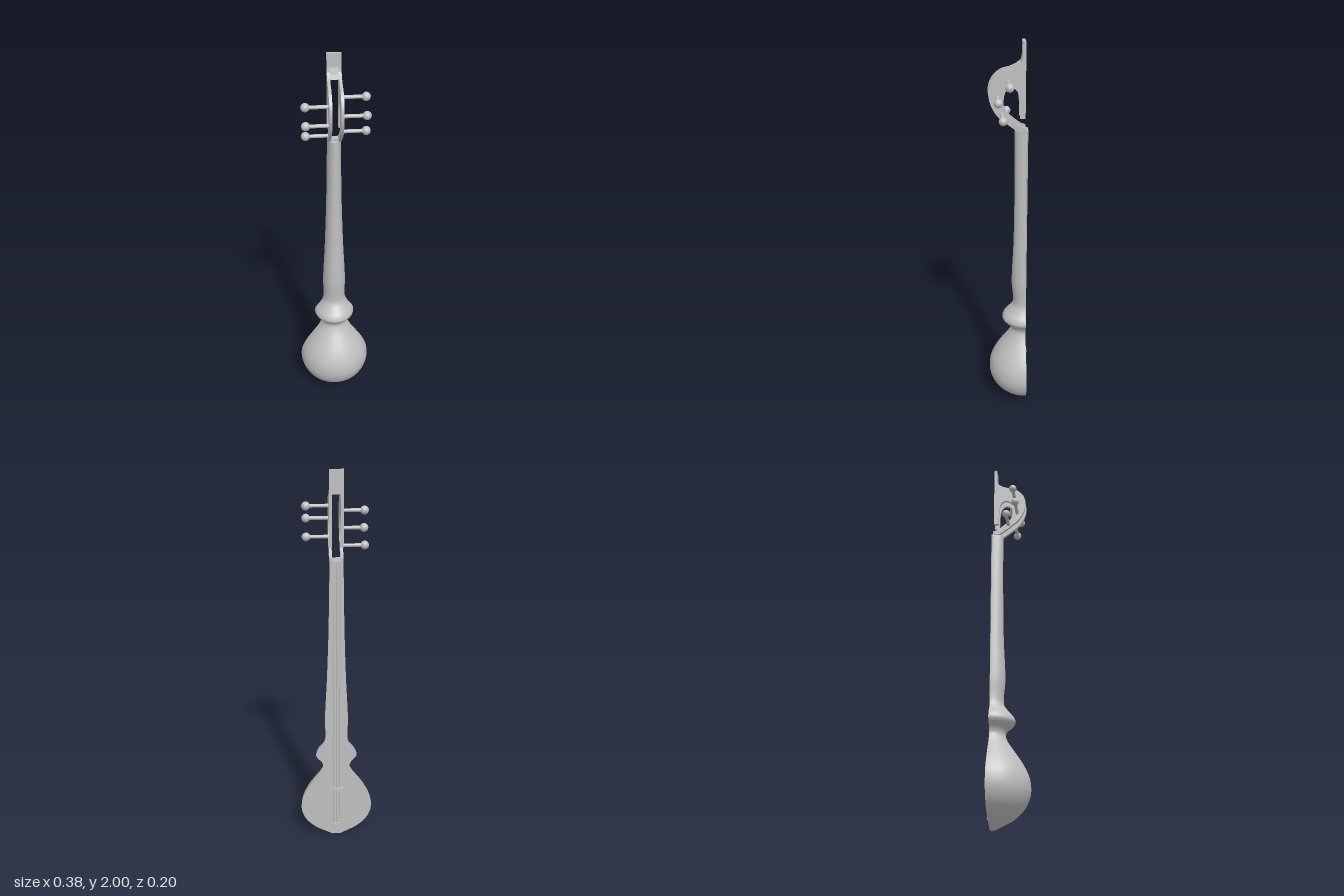
import * as THREE from 'three';

const BACK = -0.09; // plane of the flat soundboard

export function createModel() {
  const group = new THREE.Group();
  const grey = new THREE.MeshStandardMaterial({ color: 0xbfbfbf });
  grey.name = 'plain grey';
  const add = (name, geometry, x = 0, y = 0, z = 0) => {
    const mesh = new THREE.Mesh(geometry, grey);
    mesh.name = name;
    mesh.position.set(x, y, z);
    group.add(mesh);
    return mesh;
  };

  // Hollowed-gourd body and neck: half ellipses of [height, half width, depth]
  const sections = [
    [0, 0.022, 0.022], [0.02, 0.06, 0.06], [0.05, 0.113, 0.113], [0.1, 0.163, 0.163],
    [0.15, 0.186, 0.186], [0.19, 0.191, 0.191], [0.24, 0.184, 0.184], [0.3, 0.157, 0.157],
    [0.36, 0.118, 0.118], [0.41, 0.085, 0.085], [0.445, 0.071, 0.071], [0.47, 0.078, 0.08],
    [0.495, 0.1, 0.108], [0.513, 0.108, 0.119], [0.535, 0.102, 0.112], [0.565, 0.08, 0.088],
    [0.6, 0.062, 0.064], [0.64, 0.058, 0.061], [0.72, 0.06, 0.068], [0.8, 0.057, 0.067],
    [0.95, 0.049, 0.06], [1.2, 0.04, 0.056], [1.4, 0.036, 0.055], [1.575, 0.033, 0.056],
  ].map((s) => new THREE.Vector3(s[1], s[0], s[2]));
  const rings = new THREE.CatmullRomCurve3(sections).getPoints(92);
  const seg = 32, position = [], index = [];
  rings.forEach((r, i) => {
    for (let j = 0; j <= seg; j++) {
      const a = (j / seg) * Math.PI;
      position.push(r.x * Math.cos(a), r.y, BACK + r.z * Math.sin(a));
      if (i && j) {
        const d = i * (seg + 1) + j, c = d - 1, b = d - seg - 1, e = b - 1;
        index.push(e, c, b, b, c, d);
      }
    }
  });
  const shell = new THREE.BufferGeometry();
  shell.setAttribute('position', new THREE.Float32BufferAttribute(position, 3));
  shell.setIndex(index);
  shell.computeVertexNormals();
  add('bodyAndNeck', shell);

  // Flat soundboard and fingerboard
  const outline = [...rings.map((r) => new THREE.Vector2(r.x, r.y)),
    ...rings.map((r) => new THREE.Vector2(-r.x, r.y)).reverse()];
  add('soundboard', new THREE.ShapeGeometry(new THREE.Shape(outline)).rotateY(Math.PI), 0, 0, BACK);

  // Half-disc ends
  const halfDisc = (r) => new THREE.CircleGeometry(1, seg, 0, Math.PI).scale(r.x, r.z, 1);
  add('neckEnd', halfDisc(rings.at(-1)).scale(1, -1, 1).rotateZ(Math.PI).scale(1, -1, 1)
    .rotateX(0), 0, 0, 0).geometry = new THREE.CircleGeometry(1, seg, Math.PI, Math.PI)
    .scale(rings.at(-1).x, rings.at(-1).z, 1).rotateX(-Math.PI / 2).translate(0, rings.at(-1).y, BACK);
  add('bodyFoot', halfDisc(rings[0]).rotateX(Math.PI / 2), 0, 0, BACK);

  // Side view of the open pegbox, drawn as (z, y)
  const v = (list) => list.map(([z, y]) => new THREE.Vector2(z, y));
  const smooth = (list) => new THREE.SplineCurve(v(list)).getPoints(40);
  const cheek = new THREE.Shape([
    ...v([[-0.083, 2], [-0.068, 2]]),
    ...smooth([[-0.068, 1.935], [-0.06, 1.905], [-0.02, 1.88], [0.035, 1.863], [0.075, 1.825],
      [0.092, 1.775], [0.084, 1.715], [0.055, 1.66], [0.02, 1.628], [-0.015, 1.6], [-0.05, 1.575]]),
    ...v([[-0.088, 1.575], [-0.088, 1.592], [-0.065, 1.6]]),
    ...smooth([[-0.045, 1.615], [-0.01, 1.645], [0.013, 1.675], [0.021, 1.725], [0.011, 1.772],
      [-0.019, 1.79], [-0.045, 1.768], [-0.055, 1.72], [-0.057, 1.64]]),
    ...v([[-0.083, 1.64]]),
  ]);
  // Extruded along x and centred on the given x
  const slab = (shape, width, x) => new THREE.ExtrudeGeometry(shape,
    { depth: width, bevelEnabled: false }).rotateY(-Math.PI / 2).translate(x + width / 2, 0, 0);
  for (const side of [-1, 1]) {
    add(side > 0 ? 'leftCheek' : 'rightCheek', slab(cheek, 0.014, side * 0.027));
  }
  const topBlock = new THREE.Shape(v([[-0.083, 2], [-0.068, 2], [-0.068, 1.935],
    [-0.06, 1.905], [-0.035, 1.889], [-0.083, 1.889]]));
  add('headBlock', slab(topBlock, 0.04, 0));
  add('headFoot', new THREE.BoxGeometry(0.04, 0.012, 0.035), 0, 1.58, -0.07);

  // Ball-ended tuning pegs: side, height, z
  const pegs = [[1, 1.82, 0], [1, 1.75, 0.052], [1, 1.665, 0.03],
    [-1, 1.79, 0.033], [-1, 1.703, 0.045], [-1, 1.63, -0.003]];
  for (const [side, y, z] of pegs) {
    add('pegShaft', new THREE.CylinderGeometry(0.009, 0.009, 0.11, 12).rotateZ(Math.PI / 2),
      side * 0.081, y, z);
    add('pegBall', new THREE.SphereGeometry(0.021, 16, 12), side * 0.14, y, z);
  }

  // Strings with their bridge, tailpiece and nut
  for (const x of [-0.016, 0, 0.016]) {
    add('string', new THREE.CylinderGeometry(0.0025, 0.0025, 1.53, 6), x, 0.815, -0.096);
  }
  add('bridge', new THREE.BoxGeometry(0.07, 0.016, 0.013), 0, 0.3, -0.0955);
  add('tailpiece', new THREE.BoxGeometry(0.05, 0.035, 0.013), 0, 0.06, -0.0955);
  add('nut', new THREE.BoxGeometry(0.05, 0.01, 0.01), 0, 1.575, -0.093);

  return group;
}
